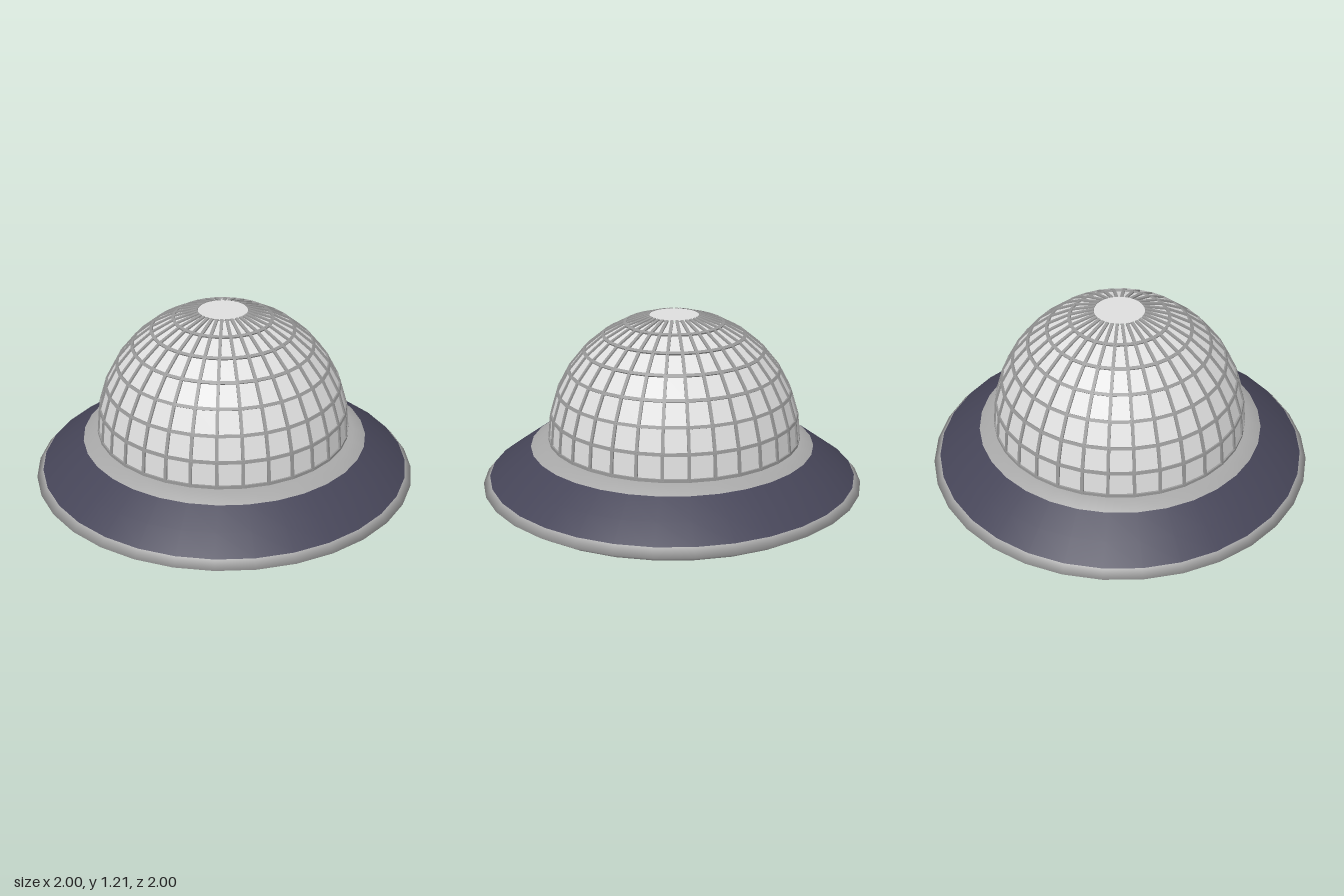
import * as THREE from 'three';
import { mergeGeometries } from 'three/addons/utils/BufferGeometryUtils.js';

const SIDES = 32;
const STEP = Math.PI / 16;
const R = 0.655;

const hullGrey = new THREE.MeshStandardMaterial({ color: 0xa8a8a8 });
const bandBlue = new THREE.MeshStandardMaterial({ color: 0x464558 });
const panelGrey = new THREE.MeshStandardMaterial({ color: 0xdedede, flatShading: true });
const frameGrey = new THREE.MeshStandardMaterial({ color: 0x999999, flatShading: true });
hullGrey.name = 'hull grey';
bandBlue.name = 'band blue';
panelGrey.name = 'panel pale grey';
frameGrey.name = 'frame grey';

// Saucer: one smooth lathe, with the sloping top band in its own colour
function createSaucer() {
  const profile = [
    [0, 0], [0.34, 0.065], [0.58, 0.147], [0.8, 0.225], [0.935, 0.278], [1, 0.32],
    [0.965, 0.36], [0.86, 0.436], [0.745, 0.518], [0.68, 0.55], [0.6, 0.555],
  ].map(([r, y]) => new THREE.Vector2(r, y));
  const geo = new THREE.LatheGeometry(profile, SIDES);
  const rows = profile.length - 1;
  for (let i = 0; i < SIDES; i++) {
    const start = i * rows * 6;
    geo.addGroup(start, 6 * 6, 0);
    geo.addGroup(start + 6 * 6, 2 * 6, 1);
    geo.addGroup(start + 8 * 6, 2 * 6, 0);
  }
  const mesh = new THREE.Mesh(geo, [hullGrey, bandBlue]);
  mesh.name = 'saucer';
  return mesh;
}

// Point on the dome at ring j (0 = top) and spoke i
function node(i, j) {
  return new THREE.Vector3().setFromSphericalCoords(R, j * STEP, i * STEP);
}

// Square bar between two dome points, facing outwards
function bar(a, b) {
  const mid = a.clone().add(b).multiplyScalar(0.5);
  const along = b.clone().sub(a);
  const length = along.length();
  along.normalize();
  const side = mid.clone().normalize().cross(along).normalize();
  const out = along.clone().cross(side);
  const geo = new THREE.BoxGeometry(0.016, 0.016, length + 0.004);
  return geo.applyMatrix4(new THREE.Matrix4().makeBasis(side, out, along).setPosition(mid));
}

function createDome() {
  const dome = new THREE.Group();
  dome.name = 'dome';

  // Faceted panels with a flat cap
  const panels = new THREE.Mesh(
    new THREE.SphereGeometry(R, SIDES, 7, 0, Math.PI * 2, STEP, Math.PI / 2 - STEP), panelGrey);
  panels.name = 'domePanels';
  const cap = new THREE.Mesh(new THREE.CircleGeometry(R * Math.sin(STEP), SIDES), panelGrey);
  cap.rotation.x = -Math.PI / 2;
  cap.position.y = R * Math.cos(STEP) + 0.004;
  cap.name = 'domeCap';

  // Lattice of rings and spokes
  const bars = [];
  for (let i = 0; i < SIDES; i++) {
    for (let j = 1; j <= 8; j++) {
      if (j > 1) bars.push(bar(node(i, j), node(i + 1, j)));
      if (j < 8) bars.push(bar(node(i, j), node(i, j + 1)));
    }
  }
  const frame = new THREE.Mesh(mergeGeometries(bars), frameGrey);
  frame.name = 'domeFrame';

  dome.add(panels, cap, frame);
  dome.position.set(-0.004, 0.56, -0.01);
  return dome;
}

export function createModel() {
  const model = new THREE.Group();
  model.name = 'domedSaucer';
  model.add(createSaucer(), createDome());
  return model;
}
